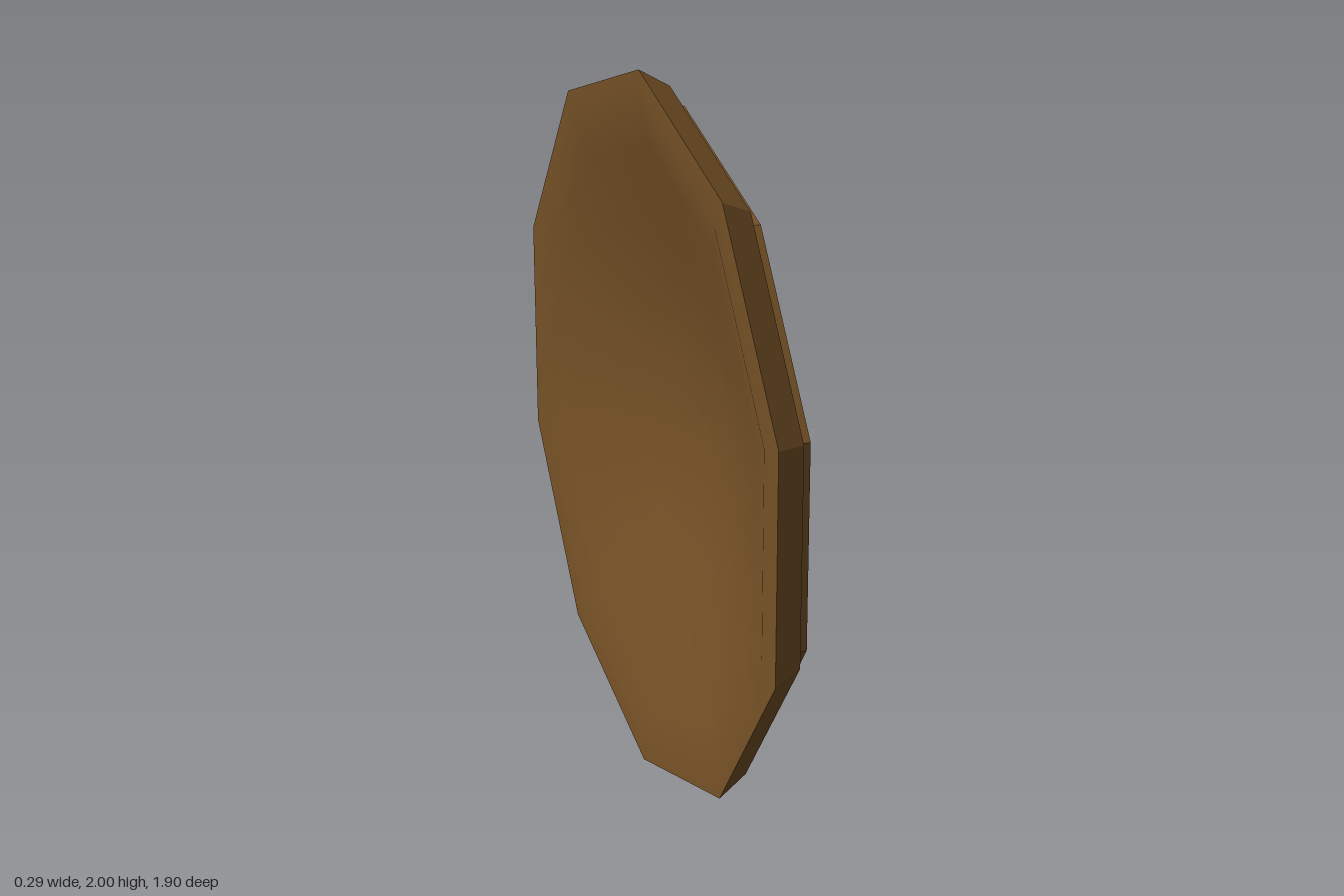
import * as THREE from 'three';

const SIDES = 10;

// Revolve a [radius, x] profile into a ten-sided part facing +x
function lathePart(name, profile, flat, centreY = 1) {
  const points = profile.map(([r, x]) => new THREE.Vector2(r, x));
  const geometry = new THREE.LatheGeometry(points, SIDES, Math.PI / 2);
  const material = new THREE.MeshStandardMaterial({
    color: 0x755126, flatShading: flat, side: THREE.DoubleSide,
  });
  const mesh = new THREE.Mesh(geometry, material);
  mesh.name = name;
  mesh.rotation.z = -Math.PI / 2;
  mesh.position.y = centreY;
  return mesh;
}

// Closed ring with a rectangular section
const ringProfile = (inner, outer, back, front) =>
  [[inner, back], [outer, back], [outer, front], [inner, front], [inner, back]];

export function createModel() {
  const shield = new THREE.Group();
  shield.name = 'shield';

  // Bevelled outer rim
  shield.add(lathePart('rim', [[1, -0.145], [0.95, -0.06], [0.78, -0.06]], true));

  // Hollow back: flat border, conical slope, shallow middle
  shield.add(lathePart('hollowBack', [
    [0, 0.04], [0.2, 0.03], [0.4, -0.008], [0.6, -0.062], [0.8, -0.116], [0.9, -0.142], [1, -0.145],
  ], false));

  // Raised band inside the rim
  shield.add(lathePart('outerBand', ringProfile(0.797, 0.894, -0.062, -0.02), true));

  // Sloping face
  shield.add(lathePart('face', [[0.8, -0.058], [0.38, 0.055]], true));

  // Thin band around the boss, set slightly low
  shield.add(lathePart('bossBand', ringProfile(0.37, 0.425, 0.046, 0.066), true, 0.983));

  // Rounded central boss
  shield.add(lathePart('boss', [
    [0.4, 0.041], [0.325, 0.066], [0.21, 0.112], [0.05, 0.145], [0, 0.145],
  ], false, 0.996));

  return shield;
}
